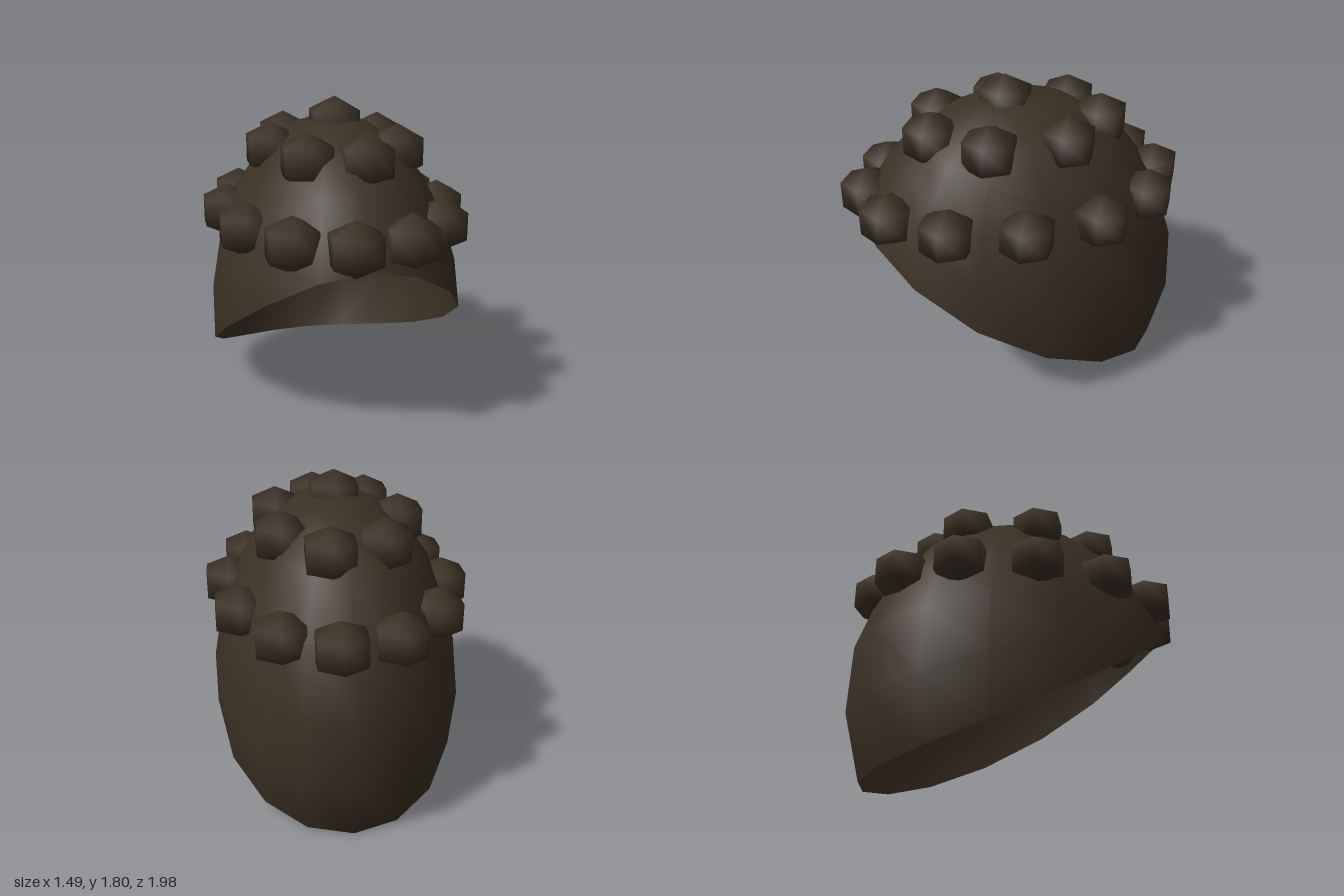
import * as THREE from 'three';

const RADII = new THREE.Vector3(0.73, 1.17, 1.0);
const CENTRE_Y = 0.52;

// Open ellipsoid shell whose rim is high at the front and low at the back
function capGeometry() {
  const geo = new THREE.SphereGeometry(1, 16, 6, 0, Math.PI * 2, 0, Math.PI / 2);
  const { position, normal, uv } = geo.attributes;
  const p = new THREE.Vector3();
  for (let i = 0; i < position.count; i++) {
    const phi = uv.getX(i) * Math.PI * 2;
    const back = -Math.sin(phi);
    const rim = THREE.MathUtils.degToRad(90.3 + 26.1 * back + 7.1 * (1 - back * back));
    const theta = (1 - uv.getY(i)) * rim;
    p.set(-Math.cos(phi) * Math.sin(theta), Math.cos(theta), Math.sin(phi) * Math.sin(theta));
    const n = p.clone().divide(RADII).normalize();
    p.multiply(RADII);
    position.setXYZ(i, p.x, p.y + CENTRE_Y, p.z);
    normal.setXYZ(i, n.x, n.y, n.z);
  }
  return geo;
}

export function createModel() {
  const model = new THREE.Group();
  model.name = 'curlyHair';

  const hair = new THREE.MeshStandardMaterial({ color: 0x3b3024, side: THREE.DoubleSide });
  hair.name = 'dark brown hair';

  const cap = new THREE.Mesh(capGeometry(), hair);
  cap.name = 'hairCap';
  model.add(cap);

  // One low-sided curl, shared by every ring
  const curl = new THREE.SphereGeometry(0.175, 6, 3);
  curl.rotateY(Math.PI / 6);
  curl.scale(1, 0.886, 1);

  // Rings of curls: count, first angle from the front, x radius, z radius, height
  const rings = [
    { name: 'lowerCurl', count: 12, start: -6, rx: 0.615, rz: 0.845, y: 1.137 },
    { name: 'upperCurl', count: 7, start: -90, rx: 0.36, rz: 0.5, y: 1.505 },
    { name: 'crownCurl', count: 1, start: 0, rx: 0, rz: 0.05, y: 1.645 },
  ];
  for (const { name, count, start, rx, rz, y } of rings) {
    for (let i = 0; i < count; i++) {
      const a = THREE.MathUtils.degToRad(start + (i * 360) / count);
      const mesh = new THREE.Mesh(curl, hair);
      mesh.name = name;
      mesh.position.set(rx * Math.sin(a), y, rz * Math.cos(a));
      model.add(mesh);
    }
  }
  return model;
}
